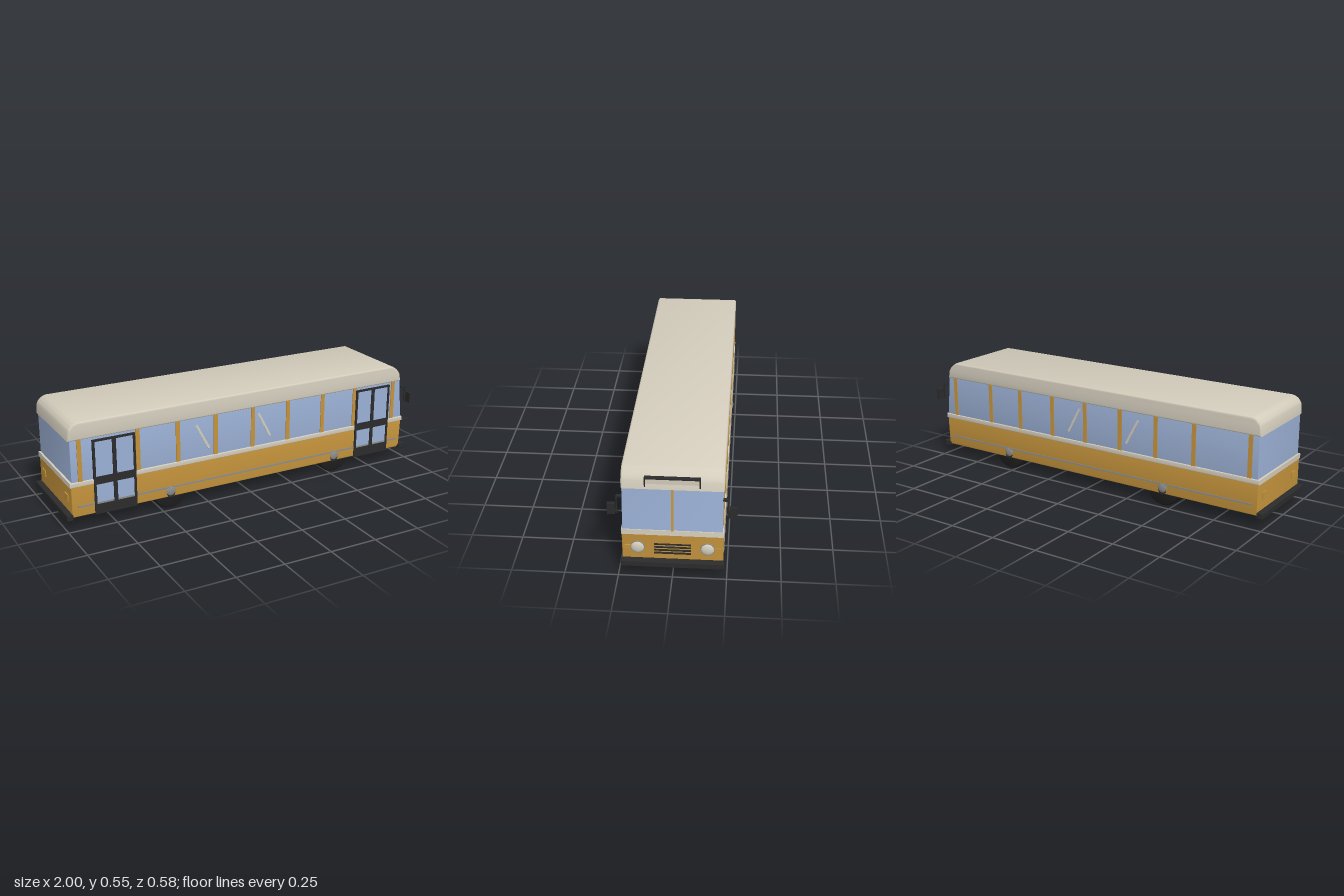
import * as THREE from 'three';
import { toCreasedNormals } from 'three/addons/utils/BufferGeometryUtils.js';
import { RoundedBoxGeometry } from 'three/addons/geometries/RoundedBoxGeometry.js';

const paint = (name, color) => {
  const m = new THREE.MeshStandardMaterial({ color });
  m.name = name;
  return m;
};

export function createModel() {
  const bus = new THREE.Group();
  bus.name = 'bus';
  const orange = paint('orange paint', 0xc4933c);
  const cream = paint('cream paint', 0xd3ccbc);
  const glass = paint('blue glass', 0x9bb0d4);
  const black = paint('black trim', 0x2b2b2b);
  const rubber = paint('tyre rubber', 0x1f1f1f);
  const steel = paint('steel', 0x8c8c8a);

  const add = (name, geo, mat, x = 0, y = 0, z = 0, parent = bus) => {
    const m = new THREE.Mesh(geo, mat);
    m.name = name;
    m.position.set(x, y, z);
    parent.add(m);
    return m;
  };
  // box given by its limits
  const box = (name, mat, x0, x1, y0, y1, z0, z1, parent = bus) =>
    add(name, new THREE.BoxGeometry(x1 - x0, y1 - y0, z1 - z0), mat,
      (x0 + x1) / 2, (y0 + y1) / 2, (z0 + z1) / 2, parent);
  // side profile extruded across the bus, with rounded side edges
  const slab = (name, mat, shape, half, bevel) => {
    const g = new THREE.ExtrudeGeometry(shape, {
      depth: 2 * (half - bevel), bevelEnabled: true, bevelThickness: bevel,
      bevelSize: bevel, bevelOffset: -bevel, bevelSegments: 3, curveSegments: 8,
    });
    return add(name, toCreasedNormals(g, 0.6), mat, 0, 0, -(half - bevel));
  };
  const polygon = pts => new THREE.Shape(pts.map(p => new THREE.Vector2(...p)));

  // Body shell
  slab('lowerBody', orange, polygon([[-0.965, 0.065], [0.955, 0.065], [0.967, 0.08],
    [0.972, 0.225], [-0.97, 0.225], [-0.97, 0.07]]), 0.232, 0.004);
  slab('beltLine', cream, polygon([[-0.975, 0.22], [0.978, 0.22], [0.976, 0.245],
    [-0.975, 0.245]]), 0.234, 0.003);
  slab('windowBand', glass, polygon([[-0.964, 0.24], [0.972, 0.24], [0.95, 0.46],
    [-0.964, 0.46]]), 0.228, 0.002);

  // Roof with rounded ends
  const roof = new THREE.Shape();
  roof.moveTo(-0.972, 0.455);
  roof.lineTo(0.956, 0.455);
  roof.lineTo(0.948, 0.495);
  roof.quadraticCurveTo(0.935, 0.525, 0.895, 0.545);
  roof.lineTo(-0.915, 0.545);
  roof.quadraticCurveTo(-0.955, 0.54, -0.968, 0.505);
  slab('roof', cream, roof, 0.232, 0.009);

  // Both sides: pillars, chrome strip, glass reflections and wheels
  const pillars = [-0.92, -0.62, -0.405, -0.195, 0.02, 0.23, 0.445, 0.65, 0.905];
  const tyre = new THREE.LatheGeometry([[0, -0.025], [0.078, -0.025], [0.086, -0.021],
    [0.09, -0.012], [0.09, 0.012], [0.086, 0.021], [0.078, 0.025], [0, 0.025]]
    .map(p => new THREE.Vector2(...p)), 32).rotateX(Math.PI / 2);
  const tyreGeo = toCreasedNormals(tyre, 0.7);
  for (const s of [1, -1]) {
    for (const x of pillars)
      box('windowPillar', orange, x - 0.011, x + 0.011, 0.243, 0.457, s * 0.229 - 0.003, s * 0.229 + 0.003);
    box('sideStrip', steel, -0.94, 0.945, 0.112, 0.121, s * 0.232 - 0.003, s * 0.232 + 0.003);
    for (const x of [-0.267, 0.09]) {
      const streak = box('glassReflection', cream, x - 0.006, x + 0.006, 0.277, 0.428,
        s * 0.228 - 0.002, s * 0.228 + 0.002);
      streak.rotation.z = 0.49;
    }
    for (const x of [-0.45, 0.53]) {
      const wheel = new THREE.Group();
      wheel.name = 'wheel';
      wheel.position.set(x, 0.09, s * 0.18);
      bus.add(wheel);
      for (const z of [-0.025, 0.025]) add('tyre', tyreGeo, rubber, 0, 0, z, wheel);
      add('hubStub', new THREE.CylinderGeometry(0.022, 0.022, 0.055, 20).rotateX(Math.PI / 2),
        black, 0, -0.006, s * 0.027, wheel);
      add('hubCap', new THREE.SphereGeometry(0.027, 24, 14), steel, 0, 0.006, s * 0.05, wheel)
        .scale.z = 0.35;
    }
  }

  // Double doors on the kerb side
  for (const x of [-0.745, 0.768]) {
    const door = new THREE.Group();
    door.name = 'door';
    door.position.x = x;
    bus.add(door);
    box('doorGlass', glass, -0.106, 0.106, 0.065, 0.44, 0.226, 0.2345, door);
    for (const [px, w] of [[-0.104, 0.012], [0, 0.02], [0.104, 0.012]])
      box('doorPost', black, px - w / 2, px + w / 2, 0.06, 0.445, 0.226, 0.238, door);
    for (const [y0, y1] of [[0.06, 0.112], [0.215, 0.255], [0.435, 0.445]])
      box('doorRail', black, -0.11, 0.11, y0, y1, 0.226, 0.2375, door);
  }

  // Bumpers
  for (const s of [1, -1])
    add('bumper', new RoundedBoxGeometry(0.033, 0.031, 0.474, 2, 0.004), black, s * 0.9835, 0.068, 0);

  // Front: windscreen post, grille, lamps
  const post = box('windscreenPost', orange, 0.958, 0.966, 0.243, 0.455, -0.005, 0.005);
  post.rotation.z = 0.1;
  for (const y of [0.116, 0.1325, 0.149, 0.1655])
    box('grilleBar', black, 0.965, 0.975, y - 0.003, y + 0.003, -0.084, 0.084);
  for (const s of [1, -1]) {
    add('headlampRim', new THREE.CylinderGeometry(0.033, 0.033, 0.01, 32).rotateZ(Math.PI / 2),
      steel, 0.97, 0.146, s * 0.16);
    add('headlamp', new THREE.SphereGeometry(0.031, 28, 18), cream, 0.972, 0.146, s * 0.16)
      .scale.x = 0.4;
    box('turnSignal', orange, 0.967, 0.975, 0.138, 0.156, s * 0.206 - 0.015, s * 0.206 + 0.015);
    box('tailLamp', orange, -0.975, -0.968, 0.135, 0.17, s * 0.165 - 0.022, s * 0.165 + 0.022);

    // Mirror on its bracket
    const mirror = new THREE.Group();
    mirror.name = 'mirror';
    bus.add(mirror);
    box('mirrorBracket', black, 0.969, 0.978, 0.335, 0.427, s * 0.249 - 0.003, s * 0.249 + 0.003, mirror);
    box('mirrorArm', black, 0.957, 0.973, 0.416, 0.424, s * 0.238 - 0.012, s * 0.238 + 0.012, mirror);
    box('mirrorHead', black, 0.977, 0.994, 0.34, 0.396, s * 0.272 - 0.018, s * 0.272 + 0.018, mirror);
  }

  // Destination sign with a hood on top and sides
  box('signPanel', cream, 0.93, 0.951, 0.463, 0.51, -0.122, 0.122);
  box('signHood', black, 0.932, 0.957, 0.508, 0.514, -0.126, 0.126);
  for (const s of [1, -1])
    box('signSide', black, 0.932, 0.957, 0.468, 0.512, s * 0.1235 - 0.0025, s * 0.1235 + 0.0025);

  return bus;
}
